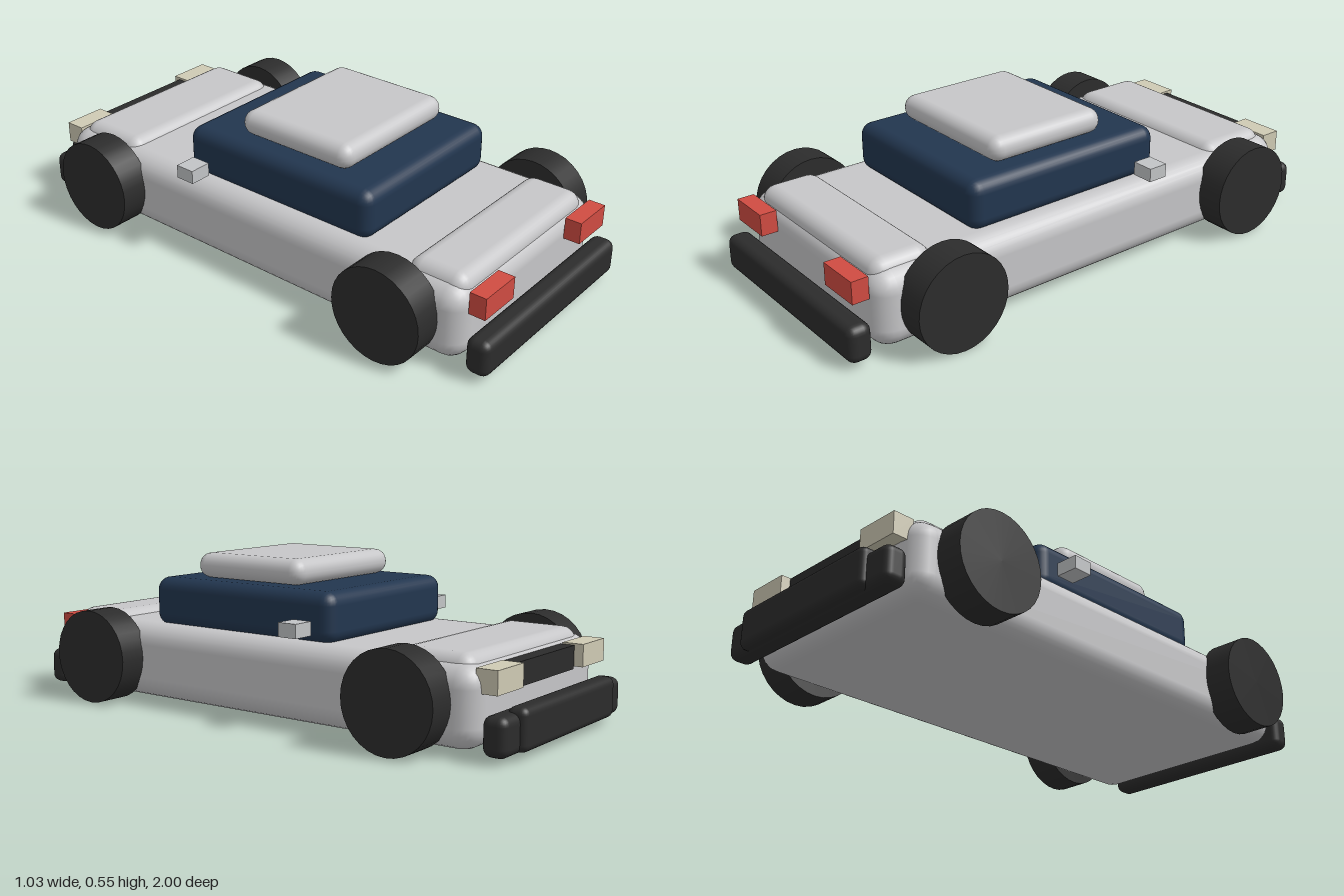
import * as THREE from 'three';
import { RoundedBoxGeometry } from 'three/addons/geometries/RoundedBoxGeometry.js';

const paint = (name, color) => {
  const m = new THREE.MeshStandardMaterial({ color });
  m.name = name;
  return m;
};

export function createModel() {
  const car = new THREE.Group();
  car.name = 'car';

  const silver = paint('silver paint', 0xc6c6c8);
  const navy = paint('navy glass', 0x22364f);
  const black = paint('black rubber', 0x2c2c2c);
  const red = paint('red lamp', 0xd04c42);
  const cream = paint('cream lamp', 0xcfcab4);
  const mirrorGrey = paint('mirror grey', 0xc2c4c6);

  // Box from its limits on each axis; a radius rounds the edges
  const block = (name, material, [x0, x1], [y0, y1], [z0, z1], radius = 0) => {
    const size = [x1 - x0, y1 - y0, z1 - z0];
    const geometry = radius
      ? new RoundedBoxGeometry(...size, 3, radius)
      : new THREE.BoxGeometry(...size);
    const mesh = new THREE.Mesh(geometry, material);
    mesh.name = name;
    mesh.position.set((x0 + x1) / 2, (y0 + y1) / 2, (z0 + z1) / 2);
    car.add(mesh);
  };

  // Body shell, with raised panels over both ends
  block('body', silver, [-0.415, 0.415], [0.02, 0.29], [-0.88, 0.9], 0.075);
  block('hood', silver, [-0.37, 0.37], [0.2, 0.315], [-0.84, -0.55], 0.05);
  block('trunk', silver, [-0.37, 0.37], [0.2, 0.315], [0.66, 0.88], 0.05);

  // Cabin and roof
  block('cabin', navy, [-0.345, 0.345], [0.28, 0.455], [-0.3, 0.495], 0.045);
  block('roof', silver, [-0.275, 0.275], [0.455, 0.545], [-0.115, 0.355], 0.044);

  // Bumpers, guard bar and grille
  block('rearBumper', black, [-0.405, 0.405], [0.02, 0.148], [0.915, 1], 0.03);
  block('frontBumper', black, [-0.405, 0.405], [0.02, 0.148], [-0.98, -0.895], 0.03);
  block('guardBar', black, [-0.315, 0.315], [0.025, 0.165], [-1, -0.93], 0.025);
  block('grille', black, [-0.2, 0.2], [0.195, 0.275], [-0.9, -0.84]);

  // Lamps, mirrors and wheels on both sides
  const tyre = new THREE.CylinderGeometry(0.168, 0.168, 0.116, 32).rotateZ(Math.PI / 2);
  for (const [side, s] of [['left', 1], ['right', -1]]) {
    const span = (a, b) => (s > 0 ? [a, b] : [-b, -a]);
    block(side + 'TailLight', red, span(0.205, 0.365), [0.207, 0.285], [0.9, 0.96]);
    block(side + 'Headlight', cream, span(0.205, 0.365), [0.203, 0.28], [-0.93, -0.855]);
    block(side + 'Mirror', mirrorGrey, span(0.375, 0.455), [0.316, 0.364], [-0.245, -0.172]);
    for (const [end, z] of [['Rear', 0.655], ['Front', -0.633]]) {
      const wheel = new THREE.Mesh(tyre, black);
      wheel.name = side + end + 'Wheel';
      wheel.position.set(s * 0.456, 0.168, z);
      car.add(wheel);
    }
  }
  return car;
}
